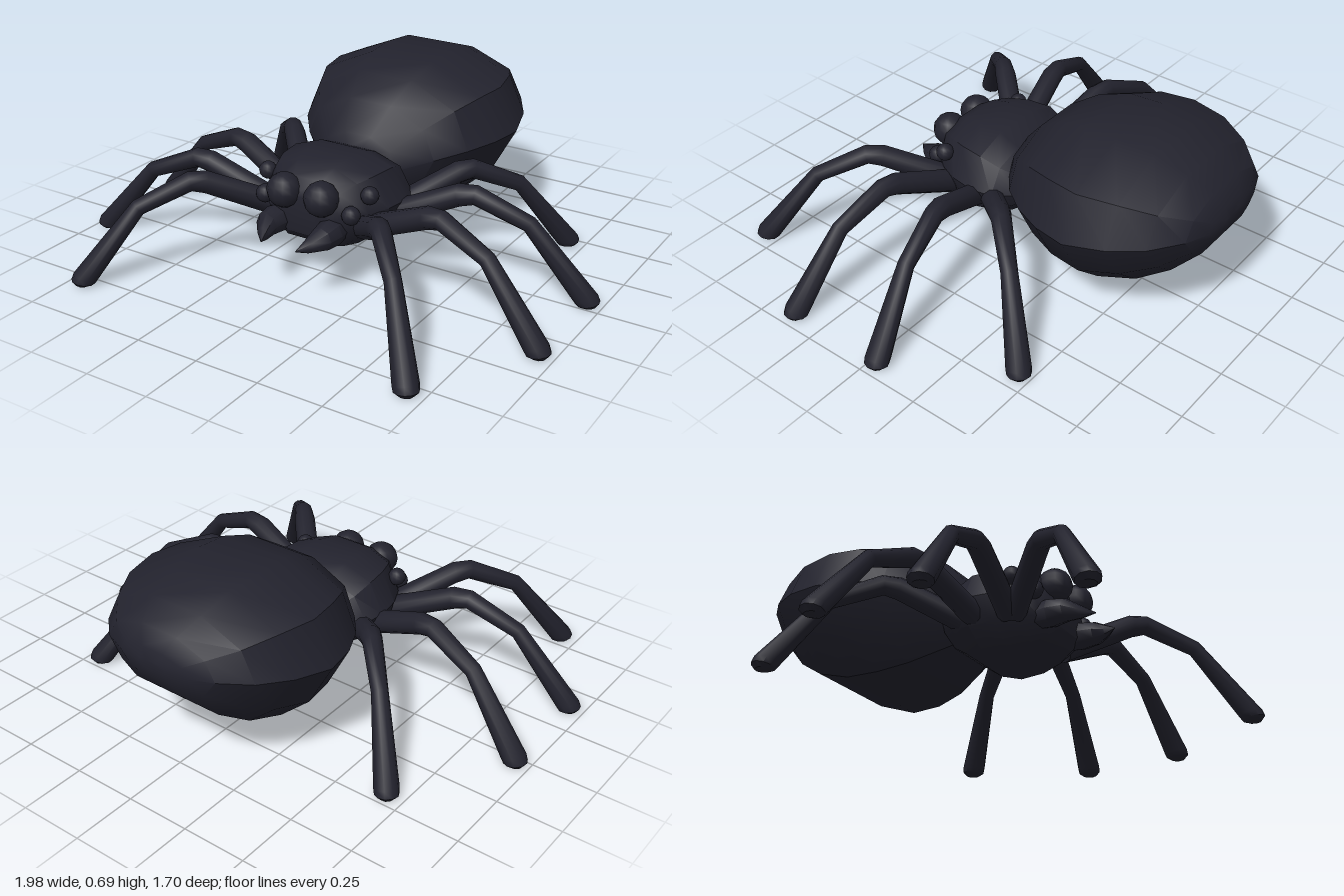
import * as THREE from 'three';
import { toCreasedNormals } from 'three/addons/utils/BufferGeometryUtils.js';

// Skin a list of equal-length rings, cap both ends, and make faces point outwards
function loft(rings, crease) {
  const n = rings[0].length, pts = rings.flat(), idx = [];
  for (let i = 0; i < rings.length - 1; i++) {
    for (let j = 0; j < n; j++) {
      const a = i * n + j, b = i * n + (j + 1) % n;
      idx.push(a, b, b + n, a, b + n, a + n);
    }
  }
  const end = (rings.length - 1) * n;
  for (let j = 1; j < n - 1; j++) idx.push(0, j + 1, j, end, end + j, end + j + 1);
  let volume = 0;
  const cross = new THREE.Vector3();
  for (let i = 0; i < idx.length; i += 3) {
    volume += pts[idx[i]].dot(cross.crossVectors(pts[idx[i + 1]], pts[idx[i + 2]]));
  }
  if (volume < 0) idx.reverse();
  const geo = new THREE.BufferGeometry().setFromPoints(pts);
  geo.setIndex(idx);
  return toCreasedNormals(geo, crease);
}

// Body loft: stations are [z, top, bottom, halfWidth]; half outline is [x, height] in 0..1
function bodyLoft(stations, half, crease) {
  const outline = [...half, ...half.map(([x, h]) => [-x, h]).reverse()];
  return loft(stations.map(([z, top, bottom, w]) =>
    outline.map(([x, h]) => new THREE.Vector3(x * w, bottom + h * (top - bottom), z))), crease);
}

// Leg stations: [fraction outwards, y, radius, ring tilt outwards, ring tilt upwards]
const LEG = [
  [0, 0.24, 0.045, -0.4, 0.92],
  [0.36, 0.36, 0.042, -0.2, 0.98],
  [0.44, 0.368, 0.037, 0.15, 0.99],
  [0.7, 0.287, 0.031, 0.55, 0.83],
  [0.98, 0.035, 0.046, 0.96, 0.28],
  [0.995, 0.015, 0.044, 0.98, 0.2],
  [0.995, 0.003, 0.028, 1, 0],
];

function legGeometry(root, tip, side) {
  const a = new THREE.Vector3(root[0] * side, 0, root[1]);
  const b = new THREE.Vector3(tip[0] * side, 0, tip[1]);
  const out = b.clone().sub(a).normalize();
  const across = new THREE.Vector3(-out.z, 0, out.x);
  return loft(LEG.map(([t, y, r, o, u]) => {
    const c = a.clone().lerp(b, t).setY(y);
    return Array.from({ length: 10 }, (_, k) => {
      const f = k / 10 * Math.PI * 2, s = Math.sin(f) * r;
      const p = c.clone().addScaledVector(across, Math.cos(f) * r).addScaledVector(out, s * o);
      p.y += s * u;
      return p;
    });
  }), 0.8);
}

export function createModel() {
  const model = new THREE.Group();
  const shell = new THREE.MeshStandardMaterial({ color: 0x22222d });
  shell.name = 'blackShell';
  const add = (name, geo, x = 0, y = 0, z = 0) => {
    const mesh = new THREE.Mesh(geo, shell);
    mesh.name = name;
    mesh.position.set(x, y, z);
    model.add(mesh);
    return mesh;
  };

  // Large faceted abdomen
  add('abdomen', bodyLoft([
    [0.025, 0.42, 0.3, 0.09], [0, 0.47, 0.24, 0.17], [-0.09, 0.575, 0.195, 0.28],
    [-0.2, 0.648, 0.155, 0.365], [-0.32, 0.688, 0.135, 0.422], [-0.45, 0.695, 0.137, 0.445],
    [-0.6, 0.685, 0.19, 0.405], [-0.72, 0.642, 0.27, 0.335], [-0.81, 0.59, 0.36, 0.24],
    [-0.845, 0.53, 0.42, 0.15], [-0.856, 0.49, 0.455, 0.06],
  ], [[0.32, 1], [0.83, 0.82], [1, 0.52], [0.78, 0.2], [0.5, 0]], 0.6));

  // Head and thorax
  add('thorax', bodyLoft([
    [0.375, 0.36, 0.21, 0.12], [0.34, 0.415, 0.175, 0.175], [0.28, 0.452, 0.15, 0.225],
    [0.2, 0.465, 0.135, 0.26], [0.1, 0.465, 0.135, 0.275], [0.02, 0.43, 0.16, 0.255],
    [-0.05, 0.37, 0.21, 0.19],
  ], [[0.35, 1], [0.78, 0.87], [1, 0.52], [0.88, 0.22], [0.5, 0]], 0.7));

  const legs = [
    ['frontLeg', [0.19, 0.26], [0.69, 0.805]],
    ['frontMiddleLeg', [0.2, 0.245], [0.95, 0.375]],
    ['rearMiddleLeg', [0.2, 0.12], [0.953, -0.035]],
    ['rearLeg', [0.19, 0.075], [0.69, -0.46]],
  ];
  const eyes = [
    ['mainEye', 0.08, 0.365, 0.368, 0.066],
    ['lowerSideEye', 0.187, 0.315, 0.34, 0.035],
    ['upperSideEye', 0.222, 0.375, 0.27, 0.034],
  ];
  // Fang stations: [x, y, z, radius]
  const fang = [
    [0.115, 0.24, 0.3, 0.045], [0.117, 0.242, 0.37, 0.054],
    [0.118, 0.24, 0.43, 0.045], [0.098, 0.228, 0.48, 0.025], [0.075, 0.222, 0.525, 0.002],
  ];
  for (const [label, side] of [['left', 1], ['right', -1]]) {
    for (const [name, root, tip] of legs) add(`${label} ${name}`, legGeometry(root, tip, side));
    for (const [name, x, y, z, r] of eyes) {
      add(`${label} ${name}`, new THREE.SphereGeometry(r, 12, 8), x * side, y, z);
    }
    add(`${label} fang`, loft(fang.map(([x, y, z, r]) => Array.from({ length: 8 }, (_, k) => {
      const f = k / 8 * Math.PI * 2;
      return new THREE.Vector3(x * side + Math.cos(f) * r, y + Math.sin(f) * r, z);
    })), 0.8));
  }
  return model;
}
